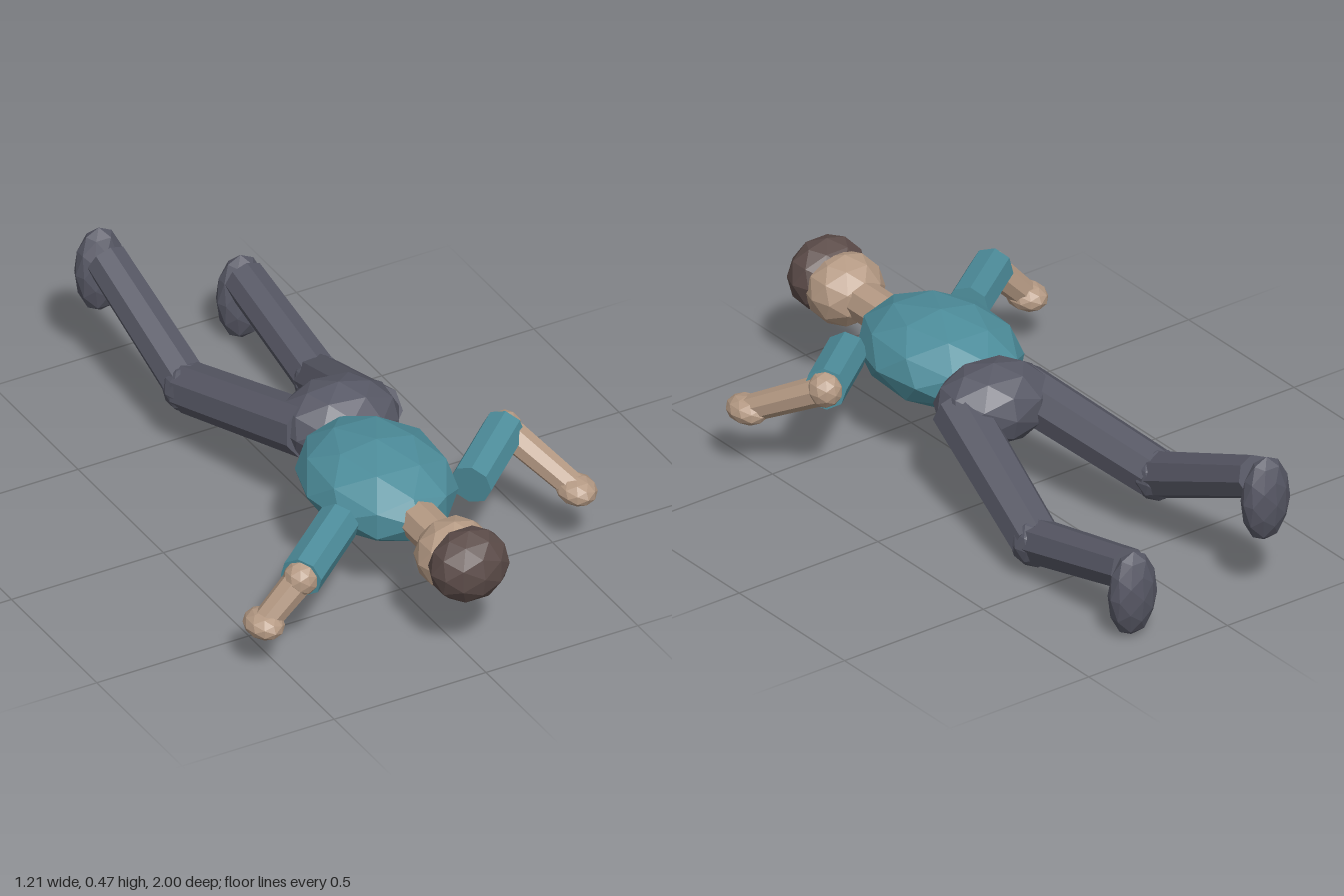
import * as THREE from 'three';

const mat = (name, color) =>
  new THREE.MeshStandardMaterial({ name, color, flatShading: true });

export function createModel() {
  const skin = mat('skin', 0xb59a84);
  const shirt = mat('teal shirt', 0x4d8d9b);
  const trousers = mat('dark trousers', 0x575865);
  const hairMat = mat('brown hair', 0x5c4c49);

  const figure = new THREE.Group();
  figure.name = 'lyingFigure';
  const V = (p) => new THREE.Vector3(...p);

  // Faceted ellipsoid
  function ball(name, material, centre, radii, rotation = [0, 0, 0], parent = figure) {
    const mesh = new THREE.Mesh(new THREE.IcosahedronGeometry(1, 1), material);
    mesh.name = name;
    mesh.position.set(...centre);
    mesh.scale.set(...radii);
    mesh.rotation.set(...rotation);
    parent.add(mesh);
  }

  // Tapered eight-sided limb between two points
  function limb(name, material, from, to, r0, r1, parent = figure) {
    const a = V(from), b = V(to), dir = b.clone().sub(a);
    const mesh = new THREE.Mesh(new THREE.CylinderGeometry(r1, r0, dir.length(), 8), material);
    mesh.name = name;
    mesh.position.copy(a).add(b).multiplyScalar(0.5);
    mesh.quaternion.setFromUnitVectors(new THREE.Vector3(0, 1, 0), dir.normalize());
    parent.add(mesh);
  }

  // Head and body, lying face down with the head towards +z
  ball('hair', hairMat, [0, 0.315, 0.9], [0.124, 0.114, 0.098]);
  ball('head', skin, [0, 0.302, 0.815], [0.119, 0.11, 0.114]);
  limb('neck', skin, [0, 0.3, 0.56], [0, 0.3, 0.75], 0.062, 0.062);
  ball('torso', shirt, [0, 0.3, 0.36], [0.222, 0.136, 0.285], [0, -0.06, 0]);
  ball('pelvis', trousers, [0.06, 0.3, 0.03], [0.185, 0.125, 0.142], [0, -0.15, 0]);

  // Arms
  const arms = [
    { name: 'leftArm', shoulder: [0.22, 0.298, 0.518], elbow: [0.43, 0.325, 0.343], hand: [0.545, 0.203, 0.56] },
    { name: 'rightArm', shoulder: [-0.21, 0.304, 0.51], elbow: [-0.43, 0.282, 0.682], hand: [-0.547, 0.158, 0.672] },
  ];
  for (const { name, shoulder, elbow, hand } of arms) {
    const arm = new THREE.Group();
    arm.name = name;
    limb('sleeve', shirt, shoulder, elbow, 0.064, 0.064, arm);
    ball('elbow', skin, elbow, [0.053, 0.055, 0.053], [0, 0, 0], arm);
    limb('forearm', skin, elbow, hand, 0.046, 0.04, arm);
    ball('hand', skin, hand, [0.058, 0.042, 0.071], [0, 0, 0], arm);
    figure.add(arm);
  }

  // Legs
  const legs = [
    { name: 'leftLeg', hip: [0.17, 0.3, 0.05], knee: [0.252, 0.108, -0.425], ankle: [0.25, 0.208, -0.86], foot: [0.25, 0.138, -0.878] },
    { name: 'rightLeg', hip: [-0.05, 0.3, 0.04], knee: [-0.162, 0.2, -0.455], ankle: [-0.18, 0.385, -0.9], foot: [-0.18, 0.333, -0.943] },
  ];
  for (const { name, hip, knee, ankle, foot } of legs) {
    const leg = new THREE.Group();
    leg.name = name;
    limb('thigh', trousers, hip, knee, 0.083, 0.077, leg);
    ball('knee', trousers, knee, [0.077, 0.077, 0.077], [0, 0, 0], leg);
    limb('shin', trousers, knee, ankle, 0.07, 0.064, leg);
    ball('shoe', trousers, foot, [0.079, 0.138, 0.056], [-0.04, 0, 0], leg);
    figure.add(leg);
  }

  return figure;
}
